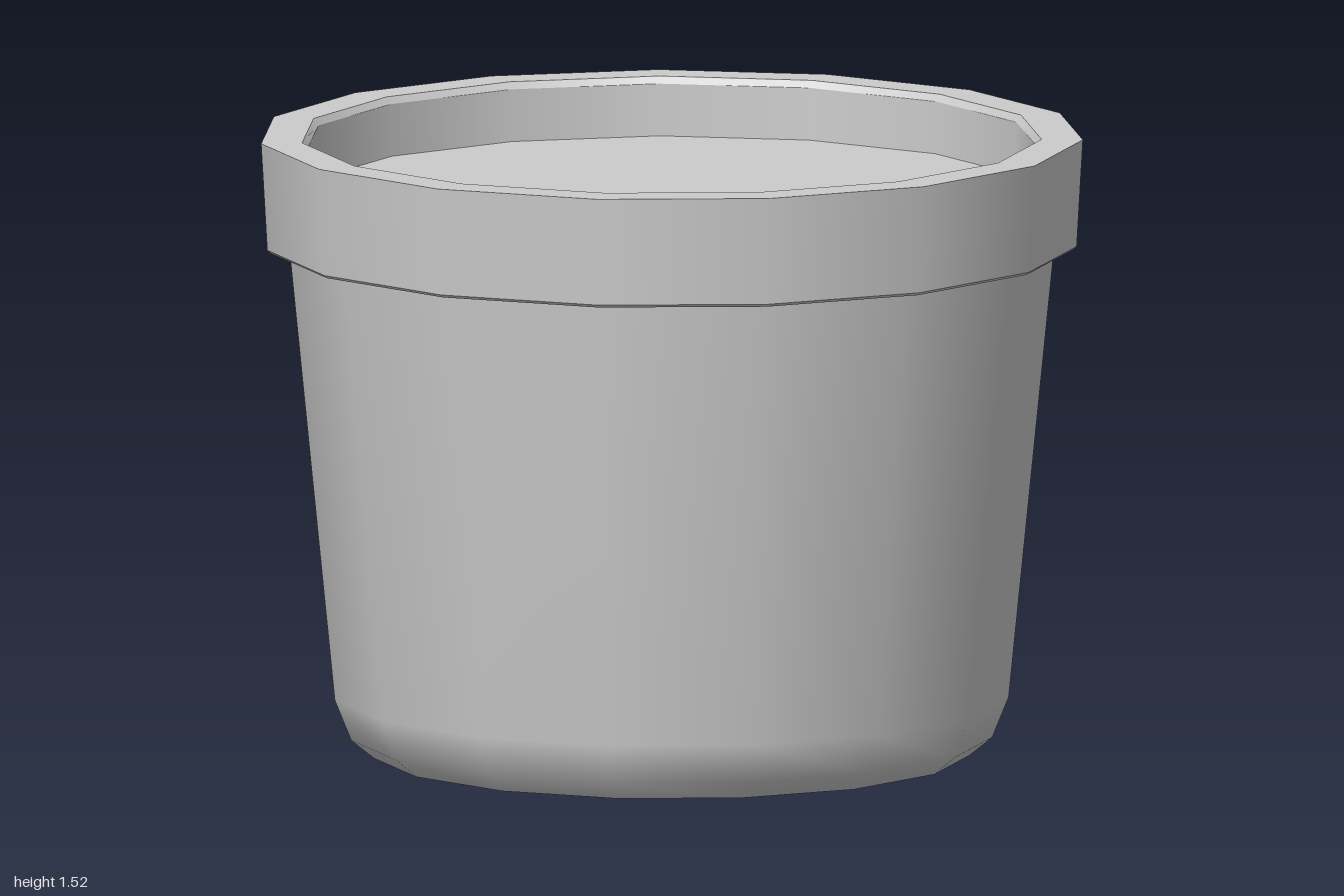
import * as THREE from 'three';

const SIDES = 15;
const SCALE = 1 / Math.sin(THREE.MathUtils.degToRad(96)); // widest corners reach x = +-1

export function createModel() {
  const pot = new THREE.Group();
  pot.name = 'flowerPot';
  const material = new THREE.MeshStandardMaterial({ color: 0xcccccc });

  // One smooth band of the turned profile; separate bands keep sharp edges between them
  function band(name, profile) {
    const points = profile.map(([r, y]) => new THREE.Vector2(r * SCALE, y));
    const mesh = new THREE.Mesh(new THREE.LatheGeometry(points, SIDES, Math.PI), material);
    mesh.name = name;
    mesh.position.z = 0.011; // centres the odd-sided outline
    pot.add(mesh);
  }

  // Profile runs from the underside, up the outside, over the rim and down to the soil
  band('base', [[0, 0], [0.725, 0]]);
  band('body', [[0.725, 0], [0.78, 0.045], [0.82, 0.145], [0.93, 1.25]]);
  band('rimUnderside', [[0.93, 1.25], [0.978, 1.25]]);
  band('rimLowerEdge', [[0.978, 1.25], [0.985, 1.257]]);
  band('rimOuter', [[0.985, 1.257], [1, 1.52]]);
  band('rimTop', [[1, 1.52], [0.9, 1.52]]);
  band('rimBevel', [[0.9, 1.52], [0.888, 1.503]]);
  band('innerWall', [[0.888, 1.503], [0.885, 1.375]]);
  band('soil', [[0.885, 1.375], [0, 1.375]]);

  return pot;
}
